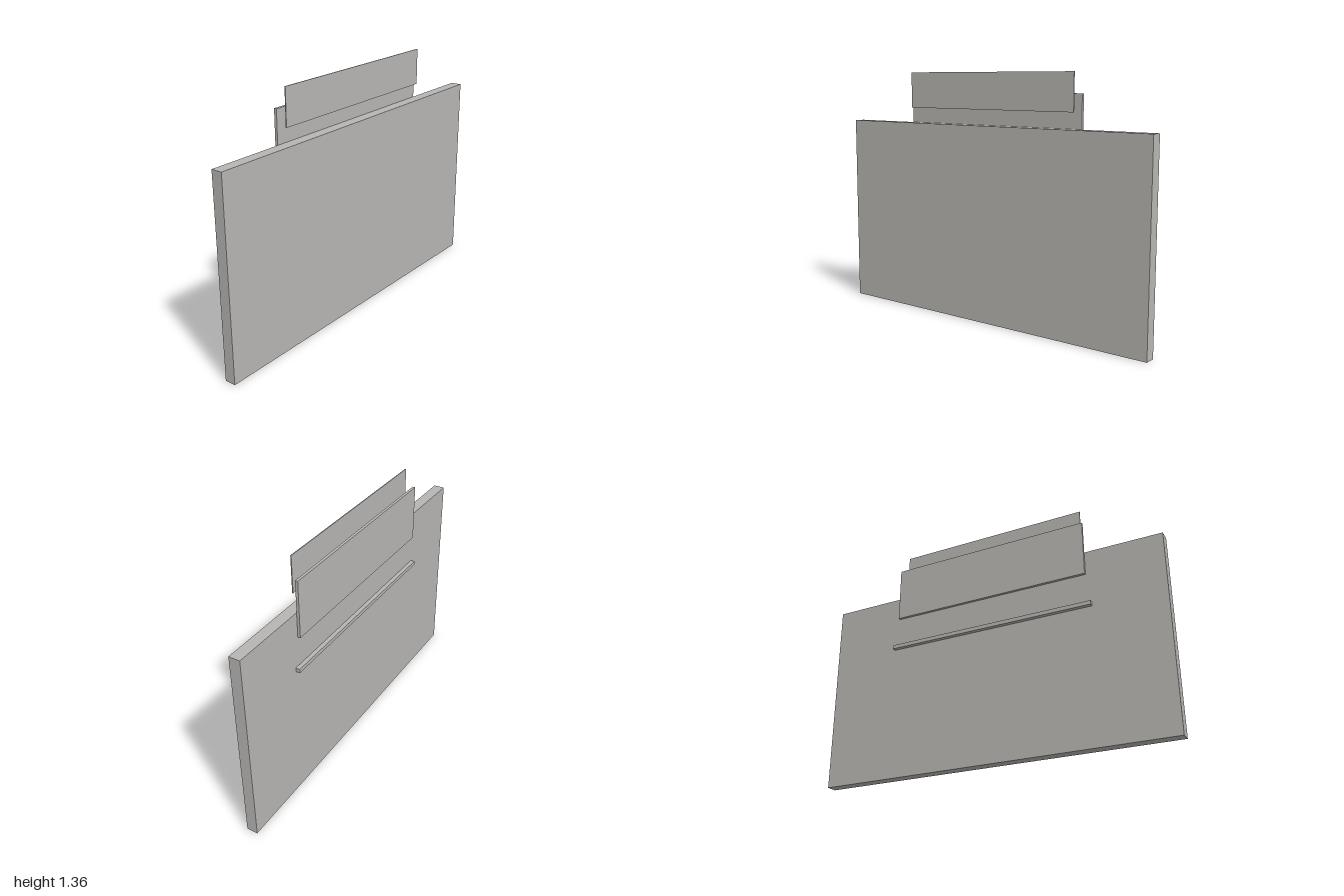
import * as THREE from 'three';

export function createModel() {
  const group = new THREE.Group();
  const grey = new THREE.MeshStandardMaterial({ color: 0xb8b6b3 });
  grey.name = 'warm grey';

  // Box centred on x, given by its width and its y and z limits
  function slab(name, width, y0, y1, z0, z1) {
    const mesh = new THREE.Mesh(new THREE.BoxGeometry(width, y1 - y0, z1 - z0), grey);
    mesh.name = name;
    mesh.position.set(0, (y0 + y1) / 2, (z0 + z1) / 2);
    group.add(mesh);
  }

  slab('mainPanel', 2, 0, 1.08, -0.019, 0.042);
  slab('backPlate', 1.15, 0.945, 1.257, -0.037, -0.022);
  slab('backLedge', 1.2, 0.755, 0.777, -0.042, -0.018);
  slab('floatingSheet', 1.1, 1.165, 1.364, 0.01, 0.015);

  return group;
}
